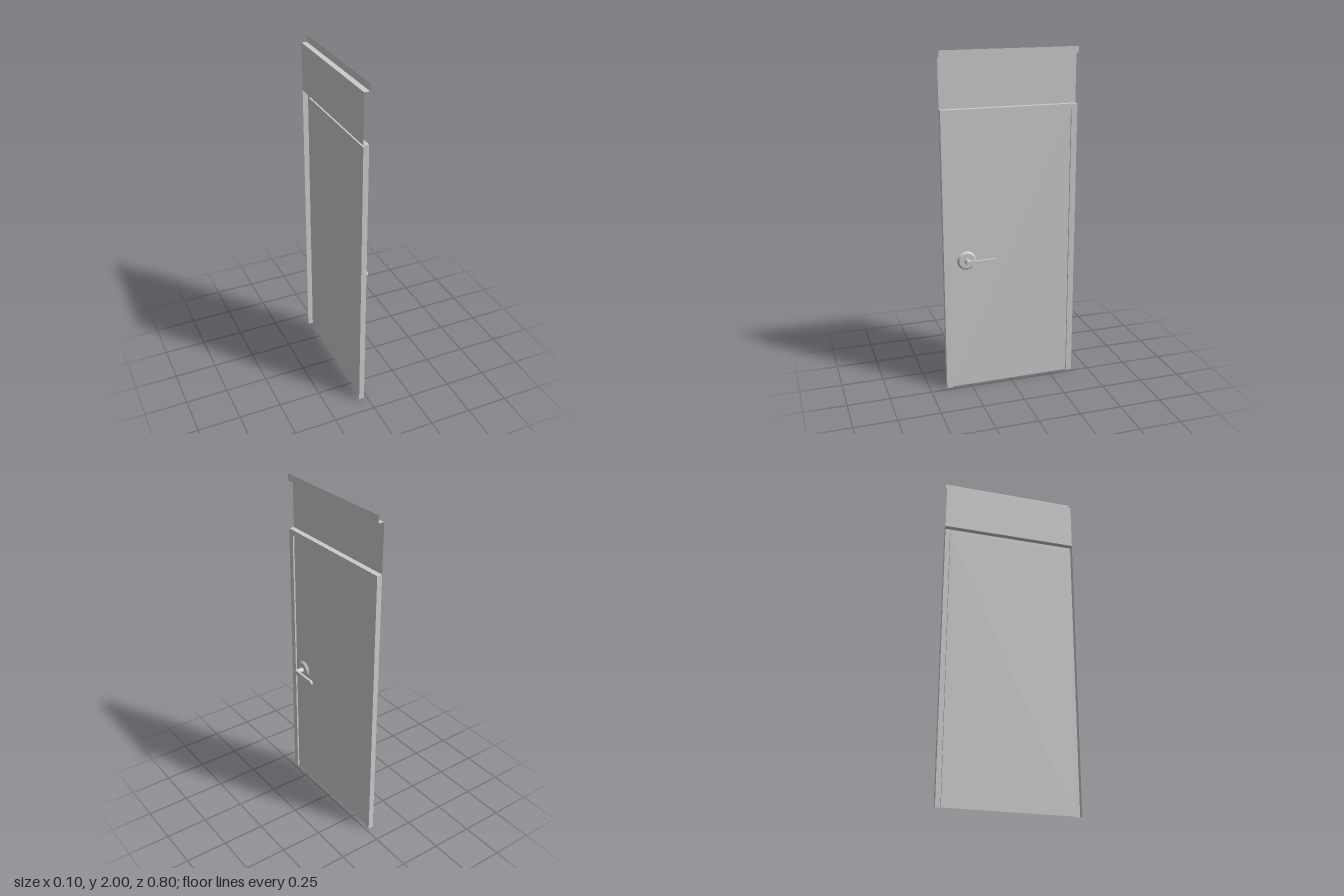
import * as THREE from 'three';

export function createModel() {
  const model = new THREE.Group();
  // Built facing local +z, then turned so the handle side faces +x
  const door = new THREE.Group();
  door.name = 'doorAssembly';
  door.rotation.y = Math.PI / 2;
  model.add(door);

  const sheetMat = new THREE.MeshStandardMaterial({ color: 0xcccccc, side: THREE.DoubleSide });
  const metalMat = new THREE.MeshStandardMaterial({ color: 0xcccccc, flatShading: true });

  const FRONT = -0.018, BACK = -0.05, LEAF = -0.028;
  const HALF = 0.4, TOP = 1.68, LEDGE = 1.96, RIM = 0.035;
  const mid = (FRONT + BACK) / 2, deep = FRONT - BACK;
  const inner = HALF - RIM, innerTop = TOP - RIM;

  const add = (name, geometry, material, x = 0, y = 0, z = 0) => {
    const mesh = new THREE.Mesh(geometry, material);
    mesh.name = name;
    mesh.position.set(x, y, z);
    door.add(mesh);
    return mesh;
  };
  const upright = (name, w, y0, y1, z) =>
    add(name, new THREE.PlaneGeometry(w, y1 - y0), sheetMat, 0, (y0 + y1) / 2, z);
  const level = (name, w, d, y, z) =>
    add(name, new THREE.PlaneGeometry(w, d).rotateX(-Math.PI / 2), sheetMat, 0, y, z);
  const side = (name, d, h, x, z) =>
    add(name, new THREE.PlaneGeometry(d, h).rotateY(Math.sign(x) * Math.PI / 2), sheetMat, x, h / 2, z);

  // Frame face, open at the floor
  const face = new THREE.Shape([
    [-HALF, 0], [-inner, 0], [-inner, innerTop], [inner, innerTop],
    [inner, 0], [HALF, 0], [HALF, TOP], [-HALF, TOP],
  ].map(([x, y]) => new THREE.Vector2(x, y)));
  add('frameFace', new THREE.ShapeGeometry(face), sheetMat, 0, 0, FRONT);

  // Frame returns and the shallow step down to the door leaf
  const step = FRONT - LEAF, stepMid = (FRONT + LEAF) / 2;
  for (const s of [-1, 1]) {
    side('frameReturn', deep, TOP, s * HALF, mid);
    side('frameStep', step, innerTop, s * inner, stepMid);
  }
  level('frameTop', 2 * HALF, deep, TOP, mid);
  level('frameTopStep', 2 * inner, step, innerTop, stepMid);
  upright('doorLeaf', 2 * inner, 0, innerTop, LEAF);

  // Panel above the door, with its ledge and upper lip
  upright('upperPanel', 2 * HALF, TOP, LEDGE, BACK);
  level('upperLedge', 2 * HALF, deep, LEDGE, mid);
  upright('upperLip', 2 * HALF, LEDGE, 2, FRONT);

  // Handle: bevelled rose, spindle and flat lever with rounded ends
  const hx = -0.267, hy = 0.805;
  const rod = (r1, r0, z0, z1, n) =>
    new THREE.CylinderGeometry(r1, r0, z1 - z0, n).rotateX(Math.PI / 2).translate(0, 0, (z0 + z1) / 2);
  add('handleRose', rod(0.046, 0.056, -0.016, -0.003, 24), metalMat, hx, hy);
  add('handleSpindle', rod(0.016, 0.016, -0.004, 0.049, 12), metalMat, hx, hy);

  const r = 0.015, reach = 0.152;
  const lever = new THREE.Shape();
  lever.absarc(0, 0, r, Math.PI / 2, Math.PI * 1.5, false);
  lever.absarc(reach, 0, r, -Math.PI / 2, Math.PI / 2, false);
  add('handleLever', new THREE.ExtrudeGeometry(lever, { depth: 0.014, bevelEnabled: false, curveSegments: 6 }),
    metalMat, hx, hy, 0.036);

  return model;
}
